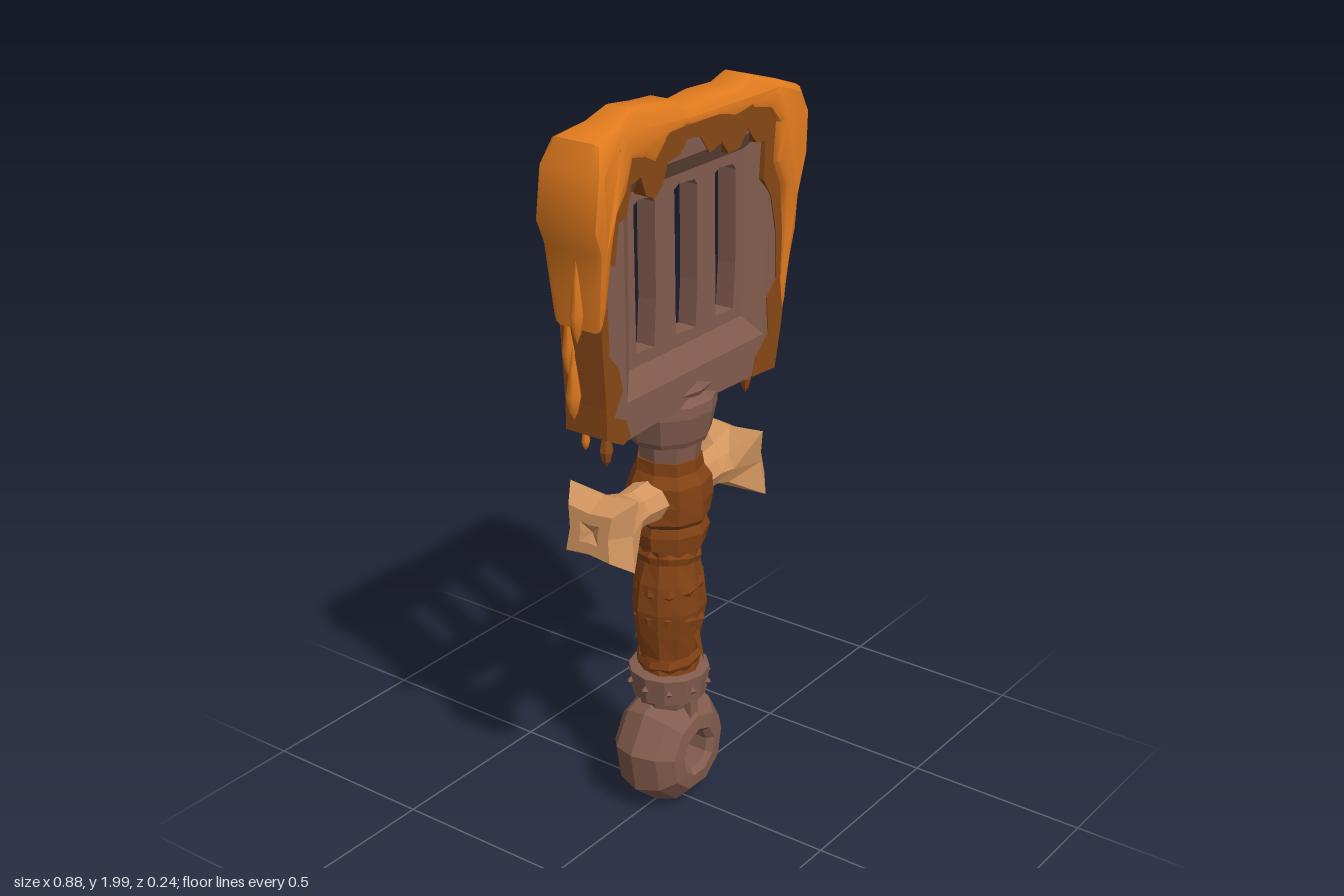
import * as THREE from 'three';
import { toCreasedNormals } from 'three/addons/utils/BufferGeometryUtils.js';

const mat = (name, color, flat = true) => {
  const m = new THREE.MeshStandardMaterial({ color, flatShading: flat });
  m.name = name;
  return m;
};

export function createModel() {
  const root = new THREE.Group();
  root.name = 'spatulaSword';
  const steel = mat('brownSteel', 0x835c4e);
  const sauce = mat('orangeSauce', 0xe07a1e, false);
  const stain = mat('darkSauce', 0x8a4816);
  const leather = mat('leather', 0x834214);
  const bone = mat('bone', 0xd39660);
  const BLADE_Z = 0.03;

  const add = (name, geo, material, parent = root) => {
    const m = new THREE.Mesh(geo, material);
    m.name = name;
    parent.add(m);
    return m;
  };
  const vecs = pts => pts.map(p => new THREE.Vector2(...p));

  // Plate centred on z = BLADE_Z, with an optional bevel
  const slab = (pts, half, bevel, holes = []) => {
    const shape = new THREE.Shape(vecs(pts));
    holes.forEach(h => shape.holes.push(new THREE.Path(vecs(h))));
    const g = new THREE.ExtrudeGeometry(shape, {
      depth: 2 * (half - bevel), bevelEnabled: bevel > 0, bevelThickness: bevel,
      bevelSize: bevel, bevelOffset: -bevel, bevelSegments: bevel > 0.015 ? 2 : 1,
    });
    return g.translate(0, 0, BLADE_Z - half + bevel);
  };

  // Move each vertex by a rule
  const warp = (g, rule) => {
    const p = g.attributes.position, v = new THREE.Vector3();
    for (let i = 0; i < p.count; i++) {
      rule(v.fromBufferAttribute(p, i));
      p.setXYZ(i, v.x, v.y, v.z);
    }
    g.computeVertexNormals();
    return g;
  };
  const lathe = (pts, sides, phase = 0) => new THREE.LatheGeometry(vecs(pts), sides, phase);
  // Small repeatable unevenness based on position
  const rough = (amount) => v => {
    const a = Math.atan2(v.z, v.x);
    const k = 1 + amount * Math.sin(3 * a + v.y * 31) * Math.cos(2 * a - v.y * 47);
    v.x *= k;
    v.z *= k;
  };

  // Blade: thick frame, sloping dish and thin slotted panel
  const dishOuter = [[-0.29, 1.29], [0.29, 1.29], [0.3, 1.845], [-0.3, 1.845]];
  const dishInner = [[-0.24, 1.35], [0.235, 1.35], [0.235, 1.795], [-0.24, 1.795]];
  const slot = (x0, x1) => [[x0, 1.76], [x0 + 0.008, 1.385], [x1 - 0.008, 1.38], [x1, 1.5],
    [x1 - 0.004, 1.75], [x1 - 0.015, 1.765], [x0 + 0.02, 1.77]];
  add('bladeFrame', slab([[-0.37, 1.23], [-0.31, 1.19], [-0.14, 1.2], [0.14, 1.19], [0.34, 1.185],
    [0.365, 1.3], [0.4, 1.55], [0.41, 1.85], [0.38, 1.92], [-0.38, 1.92], [-0.41, 1.8], [-0.385, 1.5]],
  0.06, 0, [dishOuter]), steel);
  add('bladeDish', warp(slab(dishOuter, 0.06, 0, [dishInner]), v => {
    if (Math.abs(v.x) < 0.26) v.z = BLADE_Z + (v.z - BLADE_Z) * 0.45;
  }), steel);
  add('bladePanel', slab(dishInner, 0.027, 0,
    [slot(-0.218, -0.13), slot(-0.056, 0.043), slot(0.113, 0.206)]), steel);

  // Dark sauce film hugging the top and sides
  add('sauceStain', slab([[-0.374, 1.22], [-0.31, 1.187], [-0.28, 1.2], [-0.3, 1.25], [-0.345, 1.27],
    [-0.31, 1.33], [-0.325, 1.39], [-0.36, 1.43], [-0.365, 1.55], [-0.37, 1.66], [-0.335, 1.65], [-0.32, 1.75],
    [-0.29, 1.76], [-0.27, 1.83], [-0.235, 1.84], [-0.215, 1.79], [-0.18, 1.775], [-0.15, 1.8], [-0.13, 1.85],
    [-0.08, 1.86], [-0.05, 1.89], [0, 1.885], [0.04, 1.835], [0.09, 1.85], [0.12, 1.815], [0.17, 1.82],
    [0.2, 1.86], [0.24, 1.815], [0.28, 1.81], [0.275, 1.71], [0.31, 1.66], [0.335, 1.56], [0.34, 1.43],
    [0.3, 1.39], [0.31, 1.29], [0.255, 1.24], [0.24, 1.187], [0.343, 1.18], [0.37, 1.3], [0.405, 1.55],
    [0.415, 1.85], [0.385, 1.922], [-0.385, 1.922], [-0.415, 1.8], [-0.39, 1.5], [-0.375, 1.3]],
  0.063, 0), stain);

  // Thick sauce over the top, swelling at both corners
  const saucePts = [[-0.4, 1.5], [-0.375, 1.56], [-0.368, 1.7], [-0.345, 1.78], [-0.3, 1.82],
    [-0.27, 1.89], [-0.22, 1.88], [-0.18, 1.86], [-0.13, 1.905], [-0.05, 1.92], [0.05, 1.91],
    [0.15, 1.9], [0.22, 1.905], [0.29, 1.89], [0.325, 1.85], [0.315, 1.75], [0.35, 1.68],
    [0.362, 1.55], [0.355, 1.42], [0.37, 1.34], [0.39, 1.4], [0.405, 1.48], [0.418, 1.55],
    [0.412, 1.64], [0.437, 1.75], [0.44, 1.86], [0.41, 1.93], [0.34, 1.955], [0.28, 1.97], [0.24, 1.985],
    [0.19, 1.965], [0.08, 1.97], [-0.03, 1.955], [-0.07, 1.985], [-0.15, 1.99], [-0.24, 2], [-0.3, 1.975],
    [-0.4, 1.955], [-0.425, 1.89], [-0.443, 1.76], [-0.418, 1.7], [-0.412, 1.6]];
  const sauceGeo = warp(slab(saucePts, 0.069, 0.017), v => {
    const side = THREE.MathUtils.smoothstep(Math.abs(v.x), 0.22, 0.42);
    const high = THREE.MathUtils.smoothstep(v.y, 1.45, 1.75);
    const crown = 1 - 0.42 * THREE.MathUtils.smoothstep(v.y, 1.89, 2.01);
    v.z = BLADE_Z + (v.z - BLADE_Z) * (1 + 0.36 * side * high) * crown;
  });
  add('sauceCoat', toCreasedNormals(sauceGeo, 0.7), sauce);

  // Drips hanging from the coat and from the lower blade edge
  const drip = (x, y, z, len, r, material) => {
    const g = lathe([[0, 0], [r * 0.6, len * 0.12], [r, len * 0.32], [r * 0.5, len * 0.7], [0, len]], 6);
    add('drip', g, material).position.set(x, y, z);
  };
  [[-0.42, 1.275, 0.03, 0.19, 0.02, sauce], [-0.415, 1.47, 0.04, 0.22, 0.018, sauce],
    [-0.31, 1.115, 0.04, 0.13, 0.018, stain], [0.285, 1.115, 0.04, 0.13, 0.017, stain],
    [-0.34, 1.16, 0.0, 0.08, 0.012, sauce], [0.315, 1.15, 0.0, 0.1, 0.014, sauce],
    [0.15, 1.15, 0.02, 0.08, 0.014, stain],
    [0.375, 1.24, 0.07, 0.24, 0.018, sauce], [-0.385, 1.36, -0.01, 0.22, 0.018, sauce],
  ].forEach(d => drip(...d));

  // Socket, its flared lip and the neck
  const squash = (k, dz = 0) => v => { v.z = dz + v.z * k; };
  add('socket', warp(lathe([[0, 1.08], [0.112, 1.085], [0.12, 1.1], [0.136, 1.17], [0.134, 1.2],
    [0.1, 1.225], [0, 1.23]], 10, 0.2), squash(0.88)), steel);
  add('socketLip', warp(lathe([[0, 1.19], [0.12, 1.19], [0.155, 1.23], [0.125, 1.262], [0, 1.275]], 10),
    squash(0.56, 0.015)), steel);
  add('neck', lathe([[0.09, 0.98], [0.08, 1.02], [0.088, 1.09]], 9), steel);

  // Leather grip, guard wrap and loose turns
  add('grip', warp(lathe([[0.085, 0.4], [0.078, 0.46], [0.09, 0.53], [0.1, 0.6], [0.094, 0.68],
    [0.08, 0.74], [0.088, 0.8]], 10), rough(0.05)), leather);
  add('gripCollar', warp(lathe([[0.08, 0.78], [0.1, 0.79], [0.108, 0.83], [0.1, 0.855], [0.08, 0.86]], 9),
    rough(0.04)), leather);
  add('guardWrap', warp(lathe([[0.09, 0.84], [0.108, 0.87], [0.115, 0.92], [0.106, 0.97], [0.09, 1.0],
    [0.085, 1.035], [0, 1.04]], 9), rough(0.06)), leather);
  [[0.45, 0.2], [0.56, -0.25], [0.67, 0.2], [0.75, -0.15]].forEach(([y, tilt], i) => {
    const r = 0.08 + 0.012 * Math.sin((y - 0.42) * 9);
    const g = new THREE.TorusGeometry(r, 0.008, 4, 10).scale(1, 1, 2.4).rotateX(Math.PI / 2);
    const turn = add('leatherTurn', g, leather);
    turn.position.y = y;
    turn.rotation.set(i % 2 ? tilt * 0.5 : 0, 0, tilt);
  });
  for (const s of [-1, 1]) {
    const tatter = add('leatherTatter', new THREE.ConeGeometry(0.014, 0.09, 4), leather);
    tatter.position.set(0.01 * s, 0.49, 0.095 * s);
    tatter.rotation.x = Math.PI - s * 0.35;
  }

  // Bone crossguard: shafts flaring to four-cornered knuckles
  for (const s of [-1, 1]) {
    const g = lathe([[0, 0.06], [0.06, 0.07], [0.052, 0.16], [0.064, 0.2], [0.142, 0.28],
      [0.09, 0.335], [0.04, 0.335], [0, 0.32]], 8, Math.PI / 4);
    warp(g, v => {
      const k = THREE.MathUtils.smoothstep(v.y, 0.18, 0.26);
      const corner = Math.abs(Math.sin(2 * Math.atan2(v.z, v.x)));
      const f = 1 - 0.38 * k * (1 - corner);
      v.x *= f * 0.95;
      v.z *= f * 1.08;
      v.y += k * 0.1 * v.x * s;
    });
    const b = add(s > 0 ? 'leftBone' : 'rightBone', g, bone);
    b.rotation.z = -s * Math.PI / 2;
    b.position.y = 0.93;
  }

  // Studded ring at the foot of the grip
  add('pommelRing', lathe([[0.08, 0.335], [0.102, 0.335], [0.105, 0.365], [0.11, 0.41], [0.088, 0.415], [0, 0.415]], 12), steel);
  add('pommelNeck', lathe([[0, 0.27], [0.075, 0.285], [0.085, 0.325], [0.1, 0.34]], 9), steel);
  for (let i = 0; i < 10; i++) {
    const a = (i + 0.5) * Math.PI / 5;
    const stud = add('stud', new THREE.OctahedronGeometry(0.012), steel);
    stud.position.set(0.108 * Math.sin(a), 0.375, 0.108 * Math.cos(a));
  }
  for (const s of [-1, 1]) {
    const strap = add('pommelStrap', new THREE.BoxGeometry(0.035, 0.1, 0.02), steel);
    strap.position.set(-0.01, 0.295, 0.082 * s);
  }

  // Solid rounded pommel with a narrow bore
  const pommel = lathe([[0.054, 0.09], [0.054, -0.09], [0.07, -0.105], [0.11, -0.1], [0.15, -0.065],
    [0.172, 0], [0.15, 0.065], [0.11, 0.1], [0.07, 0.105], [0.054, 0.09]], 9);
  pommel.rotateX(Math.PI / 2).rotateZ(Math.PI);
  add('pommel', pommel, steel).position.set(-0.003, 0.172, 0);

  return root;
}
